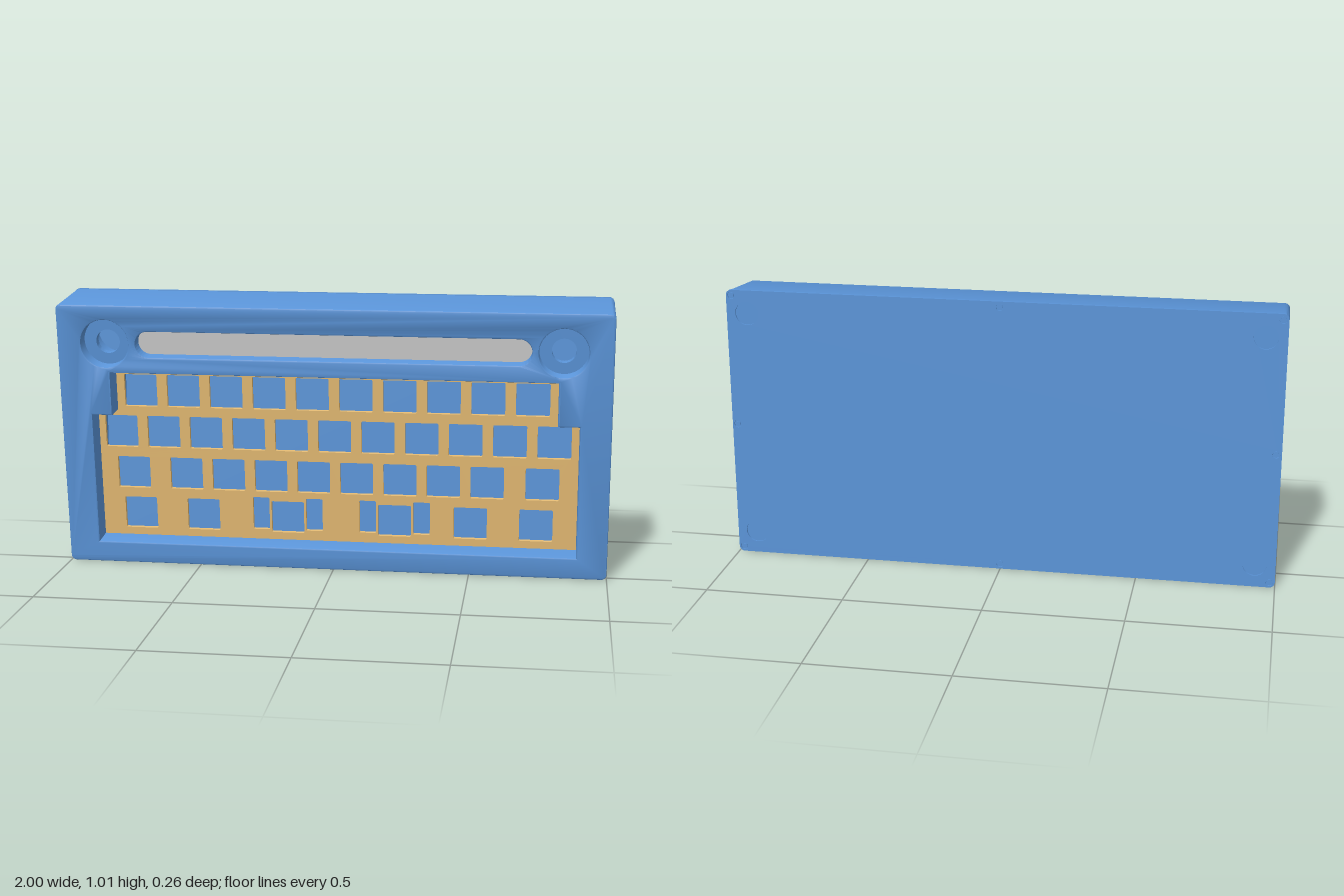
import * as THREE from 'three';
import { toCreasedNormals } from 'three/addons/utils/BufferGeometryUtils.js';

const SLOPE = 0.1025, FRONT_Z = 0.031, BACK = -0.132;
const FRONT_H = 0.985, BACK_H = 1.0125, COVER = 0.006;
const CONTROL_Y = 0.842;

const blue = new THREE.MeshStandardMaterial({ color: 0x5a94d8 });
const tan = new THREE.MeshStandardMaterial({ color: 0xe6bc74 });
const grey = new THREE.MeshStandardMaterial({ color: 0xcccccc });

// Outline helpers
function roundRect(cx, cy, w, h, r, Type = THREE.Shape) {
  const s = new Type(), x = w / 2, y = h / 2;
  s.absarc(cx + x - r, cy + y - r, r, 0, Math.PI / 2);
  s.absarc(cx - x + r, cy + y - r, r, Math.PI / 2, Math.PI);
  s.absarc(cx - x + r, cy - y + r, r, Math.PI, Math.PI * 1.5);
  s.absarc(cx + x - r, cy - y + r, r, Math.PI * 1.5, Math.PI * 2);
  s.closePath();
  return s;
}
function circle(x, y, r, Type = THREE.Path) {
  const s = new Type();
  s.absarc(x, y, r, 0, Math.PI * 2);
  return s;
}
function keyOpening() {
  return [[-0.885, 0.08], [0.888, 0.08], [0.888, 0.573], [0.81, 0.573], [0.81, 0.733],
    [-0.81, 0.733], [-0.81, 0.573], [-0.885, 0.573]].map(([x, y]) => new THREE.Vector2(x, y));
}

// Extrude back from the sloping front, starting at depth d0, stopping at the cover
function slopedSolid(shape, d0, depth, bevel = 0) {
  const geo = new THREE.ExtrudeGeometry(shape, {
    depth, curveSegments: 20, bevelEnabled: bevel > 0, bevelThickness: bevel,
    bevelSize: bevel, bevelOffset: -bevel, bevelSegments: 2,
  });
  geo.computeBoundingBox();
  const zMax = geo.boundingBox.max.z, p = geo.attributes.position;
  for (let i = 0; i < p.count; i++) {
    const y = p.getY(i), zf = FRONT_Z + SLOPE * y;
    const d = Math.min(d0 + zMax - p.getZ(i), zf - BACK - 2 * COVER);
    // walls run square to the front, easing to a level underside
    p.setY(i, y + SLOPE * d * THREE.MathUtils.clamp(y / 0.08, 0, 1));
    p.setZ(i, zf - d);
  }
  return toCreasedNormals(geo, 0.5);
}

export function createModel() {
  const model = new THREE.Group();
  const add = (name, geo, mat) => {
    const mesh = new THREE.Mesh(geo, mat);
    mesh.name = name;
    model.add(mesh);
    return mesh;
  };

  // Wedge case with key opening, slot and two round wells
  const body = roundRect(0, FRONT_H / 2, 2, FRONT_H, 0.02);
  body.holes.push(new THREE.Path(keyOpening()));
  body.holes.push(roundRect(0.002, CONTROL_Y, 1.425, 0.094, 0.0468, THREE.Path));
  for (const s of [-1, 1]) body.holes.push(circle(s * 0.825, CONTROL_Y, 0.088));
  add('case', slopedSolid(body, 0, 0.5, 0.006), blue);

  // Well floors with a shaft hole
  for (const s of [-1, 1]) {
    const floor = circle(s * 0.825, CONTROL_Y, 0.088, THREE.Shape);
    floor.holes.push(circle(s * 0.825, CONTROL_Y - 0.004, 0.044));
    add(s > 0 ? 'leftKnobWell' : 'rightKnobWell', slopedSolid(floor, 0.055, 0.03), blue);
  }

  // Panel at the bottom of the slot
  add('slotPanel', slopedSolid(roundRect(0.002, CONTROL_Y, 1.425, 0.094, 0.0468), 0.05, 0.03), grey);

  // Switch plate
  const plate = new THREE.Shape(keyOpening());
  const cut = (x, y, w = 0.122, h = 0.122) =>
    plate.holes.push(roundRect(x, y - 0.009, w, h, 0.005, THREE.Path));
  for (let i = 0; i < 10; i++) cut(-0.72 + i * 0.16, 0.655);
  for (let i = 0; i < 11; i++) cut(-0.8 + i * 0.16, 0.497);
  for (let i = 0; i < 8; i++) cut(-0.56 + i * 0.16, 0.337);
  cut(-0.76, 0.337);
  cut(0.76, 0.337);
  for (const x of [-0.74, -0.5, -0.18, 0.22, 0.5, 0.74]) cut(x, 0.178);
  // stabiliser slots beside the two wide keys
  for (const x of [-0.28, -0.08, 0.12, 0.32]) cut(x, 0.19, 0.062, 0.126);
  add('switchPlate', slopedSolid(plate, 0.085, 0.015), tan);

  // Back cover: a solid sheet and an outer sheet with screw holes and foot recesses
  const sheet = () => roundRect(0, BACK_H / 2, 2, BACK_H, 0.02);
  const outer = sheet();
  const screws = [[0, 0.02], [0, BACK_H - 0.02]];
  for (const s of [-1, 1]) {
    for (const y of [0.02, BACK_H / 2, BACK_H - 0.02]) screws.push([s * 0.98, y]);
    for (const y of [0.085, BACK_H - 0.085]) outer.holes.push(circle(s * 0.925, y, 0.043));
  }
  for (const [x, y] of screws) outer.holes.push(circle(x, y, 0.014));
  const flat = (shape) => toCreasedNormals(
    new THREE.ExtrudeGeometry(shape, { depth: COVER, bevelEnabled: false, curveSegments: 16 }), 0.5);
  add('backCover', flat(outer), blue).position.z = BACK;
  add('innerFloor', flat(sheet()), blue).position.z = BACK + COVER;

  // Screw heads
  const head = new THREE.CylinderGeometry(0.009, 0.009, 0.004, 16).rotateX(Math.PI / 2);
  for (const [x, y] of screws) add('screw', head, blue).position.set(x, y, BACK + 0.004);

  return model;
}
